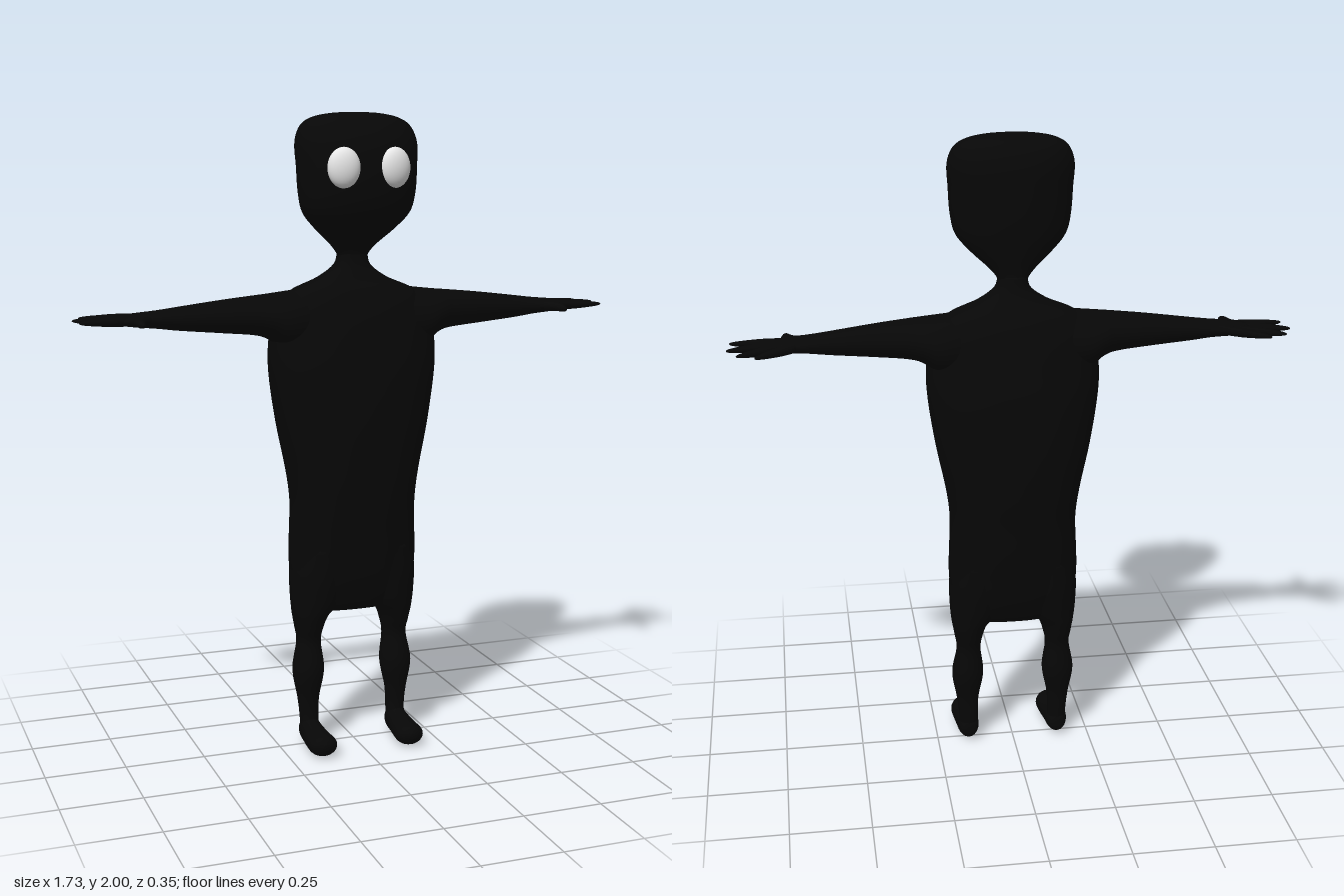
import * as THREE from 'three';

const skin = new THREE.MeshStandardMaterial({ color: 0x070707 });
skin.name = 'black skin';
const white = new THREE.MeshStandardMaterial({ color: 0xf0f0f0 });
white.name = 'eye white';

// Catmull-Rom blend of rows of numbers, giving smooth cross-sections
function smoothRows(rows, steps) {
  const out = [];
  const last = rows.length - 1;
  for (let i = 0; i < last; i++) {
    const p = [rows[Math.max(i - 1, 0)], rows[i], rows[i + 1], rows[Math.min(i + 2, last)]];
    for (let k = 0; k < steps; k++) {
      const t = k / steps;
      out.push(rows[i].map((_, c) => {
        const [a, b, d, e] = p.map((r) => r[c]);
        return 0.5 * (2 * b + (d - a) * t + (2 * a - 5 * b + 4 * d - e) * t * t + (3 * b - a - 3 * d + e) * t ** 3);
      }));
    }
  }
  out.push(rows[last]);
  return out;
}

// Closed loft along an axis. Row: [position, uCentre, uRadius, vCentre, vRadius]
// Axis y uses u = x, v = z; axis x uses u = z, v = y; axis z uses u = y, v = x.
const place = {
  y: (p, u, v) => [u, p, v],
  x: (p, u, v) => [p, v, u],
  z: (p, u, v) => [v, u, p],
};
function loft(name, axis, rows, { side = 1, power = 2, steps = 5, n = 32 } = {}) {
  const rings = smoothRows(rows, steps);
  const pos = [];
  const index = [];
  const add = (p, u, v) => {
    const [x, y, z] = place[axis](p, u, v);
    pos.push(x * side, y, z);
  };
  // mirrored copies swap the corner order
  const tri = (a, b, c) => (side > 0 ? index.push(a, b, c) : index.push(a, c, b));
  const bend = (c) => Math.sign(c) * Math.abs(c) ** (2 / power);
  rings.forEach(([p, uc, ur, vc, vr]) => {
    for (let i = 0; i < n; i++) {
      const t = (i / n) * Math.PI * 2;
      add(p, uc + Math.max(ur, 0.001) * bend(Math.cos(t)), vc + Math.max(vr, 0.001) * bend(Math.sin(t)));
    }
  });
  for (let r = 0; r < rings.length - 1; r++) {
    for (let i = 0; i < n; i++) {
      const a = r * n + i;
      const b = r * n + ((i + 1) % n);
      tri(a, b + n, b);
      tri(a, a + n, b + n);
    }
  }
  // end caps
  const first = rings[0];
  const end = rings[rings.length - 1];
  const c0 = rings.length * n;
  add(first[0], first[1], first[3]);
  add(end[0], end[1], end[3]);
  for (let i = 0; i < n; i++) {
    const j = (i + 1) % n;
    tri(c0, i, j);
    tri(c0 + 1, c0 - n + j, c0 - n + i);
  }
  const geo = new THREE.BufferGeometry();
  geo.setAttribute('position', new THREE.Float32BufferAttribute(pos, 3));
  geo.setIndex(index);
  geo.computeVertexNormals();
  const mesh = new THREE.Mesh(geo, skin);
  mesh.name = name;
  return mesh;
}

// Upright section from half width, front z, back z and centre x
const upright = ([y, w, front, back, x = 0]) => [y, x, w, (front + back) / 2, (front - back) / 2];

export function createModel() {
  const model = new THREE.Group();
  model.name = 'figure';

  // torso, from the crotch up into the neck
  model.add(loft('torso', 'y', [
    [0.445, 0.11, 0.03, -0.055], [0.452, 0.14, 0.048, -0.073], [0.48, 0.172, 0.066, -0.092],
    [0.55, 0.2, 0.09, -0.116], [0.62, 0.206, 0.103, -0.128], [0.7, 0.203, 0.115, -0.14],
    [0.8, 0.2, 0.13, -0.15], [0.9, 0.212, 0.14, -0.162], [1.05, 0.242, 0.146, -0.172],
    [1.2, 0.264, 0.143, -0.169], [1.3, 0.266, 0.13, -0.154], [1.4, 0.25, 0.108, -0.134],
    [1.46, 0.2, 0.085, -0.11], [1.5, 0.11, 0.06, -0.085], [1.54, 0.055, 0.042, -0.065],
    [1.58, 0.045, 0.038, -0.058],
  ].map(upright), { power: 2.45, n: 48 }));

  // head, narrow at the neck and broad at the crown
  model.add(loft('head', 'y', [
    [1.53, 0.05, 0.04, -0.063], [1.565, 0.045, 0.037, -0.058], [1.6, 0.07, 0.053, -0.06],
    [1.65, 0.125, 0.1, -0.072], [1.7, 0.168, 0.138, -0.083], [1.76, 0.183, 0.157, -0.091],
    [1.84, 0.188, 0.159, -0.095], [1.91, 0.191, 0.145, -0.094], [1.96, 0.173, 0.113, -0.077],
    [1.985, 0.135, 0.08, -0.05], [1.997, 0.075, 0.05, -0.015], [2, 0.01, 0.025, 0.015],
  ].map(upright), { power: 2.2, n: 48 }));

  for (const side of [1, -1]) {
    const label = side > 0 ? 'left' : 'right';

    // bulging eye
    const eye = new THREE.Mesh(new THREE.SphereGeometry(1, 32, 20), white);
    eye.name = label + 'Eye';
    eye.scale.set(0.05, 0.061, 0.03);
    eye.position.set(side * 0.081, 1.836, 0.144);
    eye.rotation.y = side * 0.15;
    model.add(eye);

    // leg with a knee pinch and a calf bulge, widening into the hip
    model.add(loft(label + 'Leg', 'y', [
      [0.04, 0.03, 0.03, -0.035, 0.148], [0.1, 0.031, 0.018, -0.039, 0.148],
      [0.16, 0.036, 0.021, -0.043, 0.15], [0.25, 0.051, 0.039, -0.064, 0.149],
      [0.34, 0.039, 0.025, -0.06, 0.146], [0.39, 0.046, 0.041, -0.074, 0.145],
      [0.43, 0.057, 0.057, -0.086, 0.141], [0.46, 0.073, 0.068, -0.094, 0.129],
      [0.5, 0.085, 0.078, -0.103, 0.12], [0.57, 0.093, 0.09, -0.114, 0.113], [0.66, 0.09, 0.095, -0.12, 0.105],
    ].map(upright), { side, n: 32 }));

    // foot, heel to toe
    model.add(loft(label + 'Foot', 'z', [
      [-0.04, 0.045, 0.01, 0.148, 0.01], [-0.034, 0.047, 0.028, 0.148, 0.024], [-0.01, 0.05, 0.043, 0.148, 0.034],
      [0.03, 0.045, 0.041, 0.148, 0.037], [0.08, 0.04, 0.037, 0.147, 0.042], [0.125, 0.04, 0.035, 0.146, 0.045],
      [0.152, 0.043, 0.027, 0.146, 0.034], [0.165, 0.045, 0.008, 0.146, 0.01],
    ], { side, n: 28 }));

    // arm, emerging from the shoulder and flattening into the palm
    model.add(loft(label + 'Arm', 'x', [
      [0.1, -0.013, 0.09, 1.375, 0.09], [0.17, -0.013, 0.104, 1.372, 0.095], [0.23, -0.013, 0.11, 1.373, 0.088],
      [0.275, -0.012, 0.1, 1.387, 0.069], [0.32, -0.011, 0.084, 1.392, 0.06], [0.42, -0.012, 0.063, 1.392, 0.05],
      [0.55, -0.016, 0.046, 1.39, 0.036], [0.62, -0.018, 0.047, 1.39, 0.027], [0.68, -0.021, 0.056, 1.39, 0.021],
      [0.725, -0.023, 0.047, 1.39, 0.015], [0.745, -0.023, 0.02, 1.39, 0.008],
    ], { side, n: 32 }));

    // four tapered fingers: root x, root z, tip x, tip z, radius in z
    [
      [0.68, 0.002, 0.855, 0.015, 0.019], [0.69, -0.02, 0.863, -0.06, 0.019],
      [0.68, -0.04, 0.833, -0.122, 0.021], [0.65, -0.042, 0.779, -0.148, 0.026],
    ].forEach(([x0, z0, x1, z1, r], i) => {
      const rows = [[0, 1], [0.4, 0.95], [0.75, 0.65], [0.95, 0.35], [1, 0.08]].map(([t, k]) =>
        [x0 + (x1 - x0) * t, z0 + (z1 - z0) * t, r * k, 1.39, 0.015 * k]);
      model.add(loft(label + 'Finger' + (i + 1), 'x', rows, { side, n: 14, steps: 3 }));
    });

    // thumb pointing forwards
    model.add(loft(label + 'Thumb', 'z', [
      [-0.02, 1.39, 0.017, 0.665, 0.055], [0.015, 1.39, 0.017, 0.668, 0.046], [0.04, 1.39, 0.015, 0.678, 0.025],
      [0.075, 1.388, 0.012, 0.684, 0.014], [0.095, 1.386, 0.008, 0.684, 0.009], [0.102, 1.386, 0.001, 0.683, 0.001],
    ], { side, n: 16, steps: 3 }));
  }
  return model;
}
